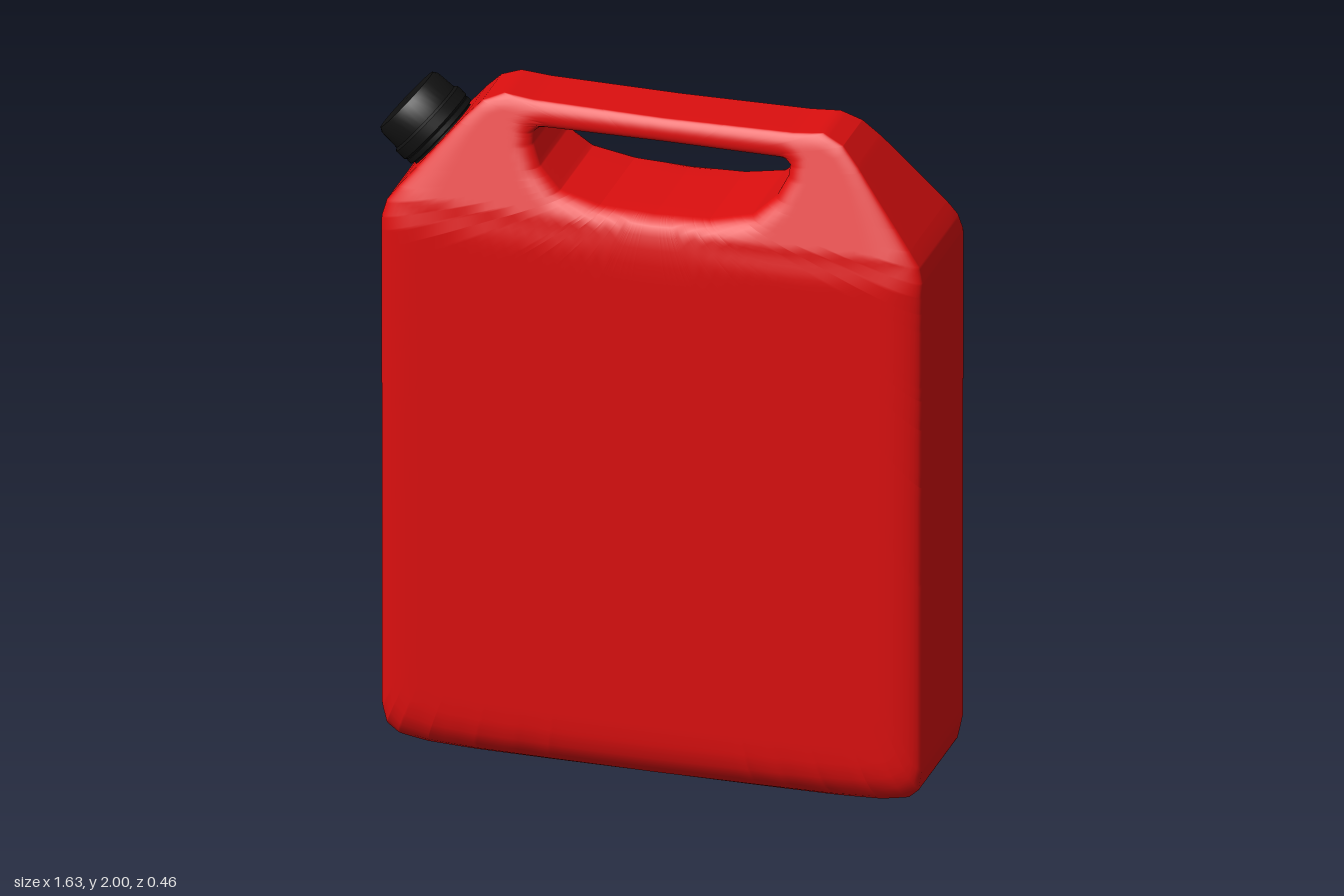
import * as THREE from 'three';
import { toCreasedNormals } from 'three/addons/utils/BufferGeometryUtils.js';

const CX = 0.025; // centre line of the can body

// Closed loop, mirrored about the centre line, from one half (bottom to top).
function mirroredLoop(half) {
  const left = half.slice(1, -1).reverse().map(([u, y]) => [-u, y]);
  return [...half, ...left].map(([u, y]) => new THREE.Vector2(CX + u, y));
}

const outline = mirroredLoop([
  [0, 0], [0.3, 0.003], [0.52, 0.008], [0.66, 0.02], [0.74, 0.042], [0.773, 0.075], [0.785, 0.14],
  [0.787, 1.63], [0.775, 1.675], [0.745, 1.715], [0.575, 1.92], [0.525, 1.972], [0.465, 1.998],
  [0.38, 1.99], [0, 1.985],
]);
const gripHole = mirroredLoop([
  [0, 1.725], [0.16, 1.732], [0.28, 1.758], [0.345, 1.815], [0.372, 1.87], [0.373, 1.9],
  [0.355, 1.914], [0, 1.916],
]);
const hub = new THREE.Vector2(CX, 1.85);

// Where a ray from the hub meets a loop.
function castRay(loop, angle) {
  const dir = new THREE.Vector2(Math.cos(angle), Math.sin(angle));
  let best = 0;
  loop.forEach((a, i) => {
    const edge = loop[(i + 1) % loop.length].clone().sub(a);
    const rel = a.clone().sub(hub);
    const den = dir.cross(edge);
    if (Math.abs(den) < 1e-9) return;
    const t = rel.cross(edge) / den;
    const k = rel.cross(dir) / den;
    if (t > 0 && k > -1e-6 && k < 1 + 1e-6) best = Math.max(best, t);
  });
  return dir.multiplyScalar(best).add(hub);
}

// Shortest distance from a point to a loop.
function distanceTo(loop, p) {
  let best = Infinity;
  loop.forEach((a, i) => {
    const edge = loop[(i + 1) % loop.length].clone().sub(a);
    const rel = p.clone().sub(a);
    const t = THREE.MathUtils.clamp(rel.dot(edge) / edge.lengthSq(), 0, 1);
    best = Math.min(best, rel.addScaledVector(edge, -t).length());
  });
  return best;
}

// Quarter-round falloff: 1 on the edge, 0 at radius r.
function roundOff(e, r) {
  const k = THREE.MathUtils.clamp(1 - e / r, 0, 1);
  return 1 - Math.sqrt(1 - k * k);
}

// Half thickness of the can: full below, tapering to the grip, rounded at all edges.
function halfDepth(p) {
  const { lerp, smoothstep } = THREE.MathUtils;
  const taper = p.y > 1.69 ? lerp(0.215, 0.095, (p.y - 1.69) / 0.3)
    : lerp(0.23, 0.215, smoothstep(p.y, 1.6, 1.69));
  const soft = lerp(1, 0.35, smoothstep(p.y, 1.62, 1.95));
  return taper
    - 0.035 * soft * roundOff(distanceTo(outline, p), 0.11 * soft)
    - 0.095 * roundOff(p.y, 0.14)
    - 0.038 * roundOff(distanceTo(gripHole, p), 0.055);
}

// Can body: one closed cross-section per ray, swept all round the grip hole.
function bodyGeometry() {
  const dense = (loop, n) => [...loop, ...new THREE.Shape([...loop, loop[0]]).getSpacedPoints(n)];
  const angles = [...dense(outline, 150), ...dense(gripHole, 60)]
    .map((p) => p.sub === undefined ? 0 : Math.atan2(p.y - hub.y, p.x - hub.x))
    .sort((a, b) => a - b)
    .filter((a, i, all) => i === 0 || a - all[i - 1] > 0.0008);

  const STEPS = 28, WALL = 5;
  const positions = [], index = [];
  let ring = 0;
  for (const angle of angles) {
    const a = castRay(gripHole, angle), b = castRay(outline, angle);
    const face = [];
    for (let i = 0; i <= STEPS; i++) {
      const p = a.clone().lerp(b, (1 - Math.cos(Math.PI * i / STEPS)) / 2);
      face.push([p.x, p.y, halfDepth(p)]);
    }
    const wall = ([x, y, d], from) => Array.from({ length: WALL - 1 },
      (_, i) => [x, y, from * d * (1 - 2 * (i + 1) / WALL)]);
    const section = [
      ...face, ...wall(face[STEPS], 1),
      ...face.map(([x, y, d]) => [x, y, -d]).reverse(), ...wall(face[0], -1),
    ];
    ring = section.length;
    positions.push(...section.flat());
  }
  const n = angles.length;
  for (let i = 0; i < n; i++) {
    for (let j = 0; j < ring; j++) {
      const i2 = (i + 1) % n, j2 = (j + 1) % ring;
      const a = i * ring + j, b = i * ring + j2, c = i2 * ring + j2, d = i2 * ring + j;
      index.push(a, b, c, a, c, d);
    }
  }
  const geo = new THREE.BufferGeometry();
  geo.setAttribute('position', new THREE.Float32BufferAttribute(positions, 3));
  geo.setIndex(index);
  geo.computeVertexNormals();
  return geo;
}

// Turned part from [radius, height] pairs.
function turned(profile) {
  const points = profile.map(([r, y]) => new THREE.Vector2(r, y));
  return toCreasedNormals(new THREE.LatheGeometry(points, 40), 0.6);
}

export function createModel() {
  const red = new THREE.MeshStandardMaterial({ color: 0xdd0f0f });
  red.name = 'red plastic';
  const black = new THREE.MeshStandardMaterial({ color: 0x111111 });
  black.name = 'black plastic';

  const model = new THREE.Group();
  model.name = 'fuelCan';
  const add = (parent, name, geometry, material) => {
    const mesh = new THREE.Mesh(geometry, material);
    mesh.name = name;
    parent.add(mesh);
    return mesh;
  };

  add(model, 'canBody', bodyGeometry(), red);

  // Screw cap standing square on the sloping shoulder
  const spout = new THREE.Group();
  spout.name = 'spout';
  spout.position.set(-0.64, 1.807, 0);
  spout.rotation.z = Math.atan2(0.76, 0.65);
  model.add(spout);
  add(spout, 'neckCollar', turned([
    [0, -0.04], [0.112, -0.04], [0.112, 0.008], [0.122, 0.012], [0.122, 0.026], [0.112, 0.03], [0, 0.03],
  ]), black);
  add(spout, 'screwCap', turned([
    [0, 0.028], [0.12, 0.028], [0.125, 0.034], [0.125, 0.065], [0.117, 0.072], [0.114, 0.13],
    [0.106, 0.143], [0, 0.145],
  ]), black);

  return model;
}
